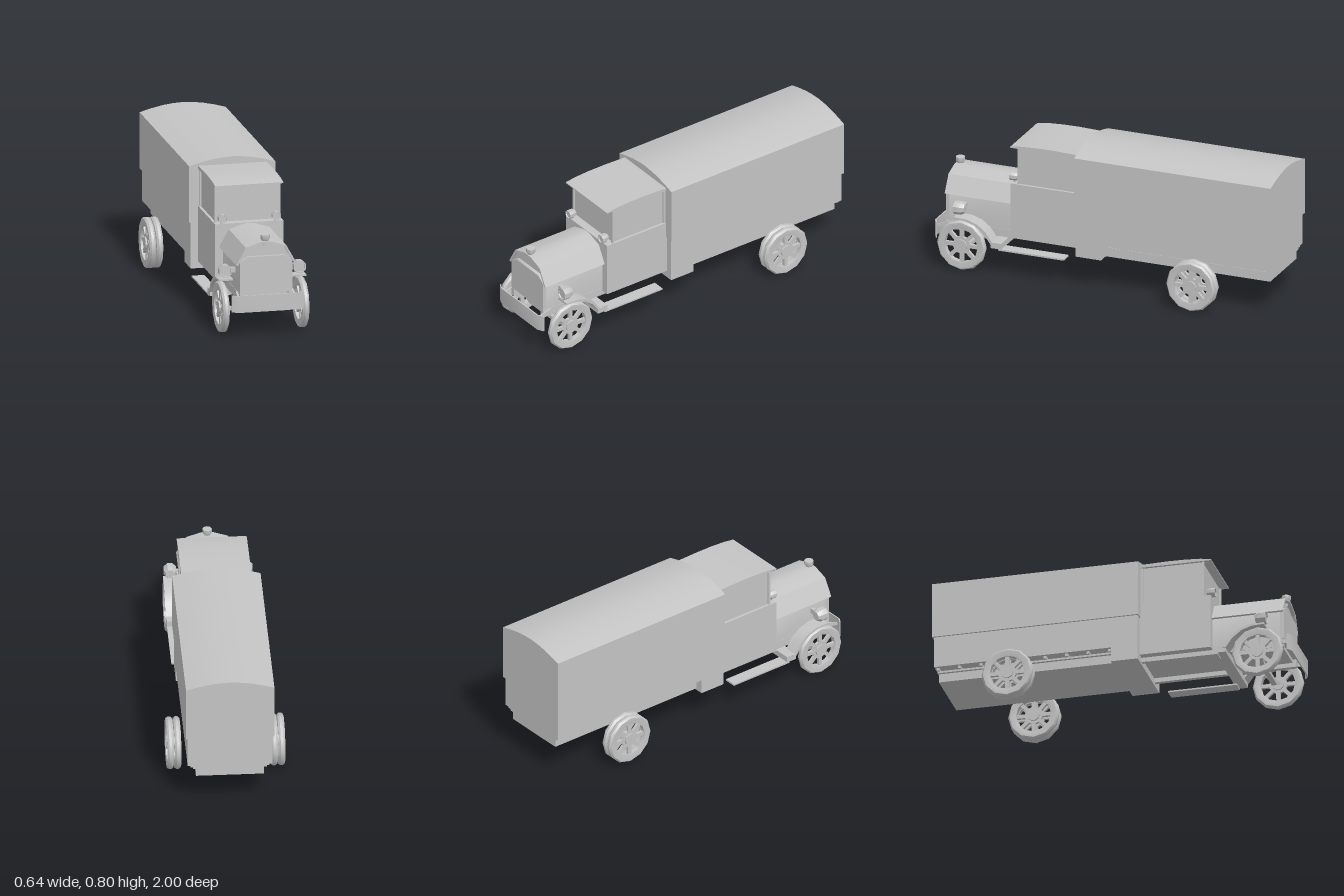
import * as THREE from 'three';
import { toCreasedNormals } from 'three/addons/utils/BufferGeometryUtils.js';

export function createModel() {
  const truck = new THREE.Group();
  truck.name = 'boxTruck';
  const grey = new THREE.MeshStandardMaterial({ color: 0xc4c4c4 });
  grey.name = 'plain grey';

  function add(name, geo, parent = truck) {
    const mesh = new THREE.Mesh(toCreasedNormals(geo, 0.56), grey);
    mesh.name = name;
    parent.add(mesh);
    return mesh;
  }
  // box given by its limits on each axis
  function box(name, x0, x1, y0, y1, z0, z1) {
    const g = new THREE.BoxGeometry(x1 - x0, y1 - y0, z1 - z0);
    return add(name, g.translate((x0 + x1) / 2, (y0 + y1) / 2, (z0 + z1) / 2));
  }
  const shapeOf = (pts) => new THREE.Shape(pts.map((p) => new THREE.Vector2(p[0], p[1])));
  // mirrors a half outline, listed from the bottom up, across x = 0
  const mirrored = (half) => [...half, ...half.filter((p) => p[0] > 0).reverse().map((p) => [-p[0], p[1]])];
  // cross-section in x, y pulled along z
  function alongZ(name, pts, z0, z1) {
    const g = new THREE.ExtrudeGeometry(shapeOf(pts), { depth: z1 - z0, bevelEnabled: false });
    return add(name, g.translate(0, 0, z0));
  }
  // side outline in z, y pulled along x
  function alongX(name, pts, x0, x1) {
    const g = new THREE.ExtrudeGeometry(shapeOf(pts), { depth: x1 - x0, bevelEnabled: false });
    return add(name, g.rotateY(-Math.PI / 2).translate(x1, 0, 0));
  }

  // cargo body with arched canvas cover
  alongZ('cargoCover', mirrored([[0.24, 0.44], [0.24, 0.755], [0.175, 0.773], [0.11, 0.787], [0.055, 0.794], [0, 0.797]]), -1, 0.155);
  box('cargoBed', -0.23, 0.23, 0.263, 0.44, -0.99, 0.15);
  for (let i = 0; i < 9; i++) {
    const z = -0.005 - i * 0.12;
    box('bedSpacer', -0.215, 0.215, 0.248, 0.264, z - 0.016, z);
  }
  box('bedPlate', -0.2, 0.2, 0.238, 0.249, -0.98, 0);
  box('rearFrame', -0.185, 0.185, 0.19, 0.238, -0.975, 0);
  box('underbodyBox', -0.23, 0.23, 0.18, 0.264, 0, 0.15);

  // cab
  box('cabLower', -0.19, 0.19, 0.22, 0.53, 0.15, 0.548);
  box('cabWindows', -0.175, 0.175, 0.53, 0.742, 0.165, 0.5);
  for (const s of [-1, 1]) {
    for (const z of [0.161, 0.504]) {
      box('cabPost', s * 0.179 - 0.005, s * 0.179 + 0.005, 0.53, 0.742, z - 0.006, z + 0.006);
    }
  }
  alongX('cabRoof', [[0.155, 0.738], [0.55, 0.738], [0.55, 0.744], [0.49, 0.753], [0.4, 0.758], [0.3, 0.759], [0.155, 0.755]], -0.19, 0.19);

  // hood: engine body, arched shell and radiator
  alongZ('engineBody', mirrored([[0.145, 0.22], [0.145, 0.42], [0.104, 0.487], [0, 0.517]]), 0.545, 0.925);
  const outer = [[0.167, 0.402], [0.113, 0.498], [0.03, 0.525], [0, 0.527]];
  const inner = [[0, 0.517], [0.03, 0.515], [0.105, 0.489], [0.157, 0.398]];
  alongZ('hoodShell', [
    ...mirrored(outer),
    ...inner.slice(1).reverse().map((p) => [-p[0], p[1]]),
    ...inner,
  ], 0.545, 0.945);
  alongZ('radiator', mirrored([[0.145, 0.242], [0.145, 0.417], [0.1, 0.445]]), 0.92, 0.946);
  add('radiatorCap', new THREE.LatheGeometry([
    [0, 0.5], [0.01, 0.5], [0.01, 0.524], [0.019, 0.528], [0.026, 0.54], [0.026, 0.561], [0, 0.561],
  ].map((p) => new THREE.Vector2(...p)), 8).translate(0, 0, 0.922));

  // chassis, crossbar and front axle
  for (const s of [-1, 1]) {
    box('chassisRail', s * 0.135 - 0.012, s * 0.135 + 0.012, 0.195, 0.24, 0.1, 0.945);
  }
  box('stepCrossbar', -0.24, 0.24, 0.157, 0.19, 0.583, 0.645);
  alongZ('frontAxle', [
    [-0.135, 0.104], [0.135, 0.104], [0.215, 0.143], [0.215, 0.16], [0.195, 0.152],
    [0.13, 0.125], [-0.13, 0.125], [-0.195, 0.152], [-0.215, 0.16], [-0.215, 0.143],
  ], 0.805, 0.835);

  // bumper with swept ends, seen as a plan outline and raised
  const plan = shapeOf([
    [-0.2, -0.975], [-0.168, -0.993], [0.168, -0.993], [0.2, -0.975],
    [0.2, -0.983], [0.168, -1], [-0.168, -1], [-0.2, -0.983],
  ]);
  const bumper = new THREE.ExtrudeGeometry(plan, { depth: 0.093, bevelEnabled: false });
  add('bumper', bumper.rotateX(-Math.PI / 2).translate(0, 0.151, 0));

  // wheel: tyre ring, spoked disc and hub, turning around x
  const tyreProfile = [
    [0.098, -0.015], [0.12, -0.018], [0.134, -0.018], [0.143, -0.007],
    [0.143, 0.007], [0.134, 0.018], [0.12, 0.018], [0.098, 0.015], [0.098, -0.015],
  ].map((p) => new THREE.Vector2(...p));
  function spokedDisc() {
    const disc = new THREE.Shape().absarc(0, 0, 0.104, 0, Math.PI * 2);
    for (let i = 0; i < 8; i++) {
      const a = (i + 0.5) * Math.PI / 4;
      const corners = [[0.05, -0.17], [0.096, -0.28], [0.098, 0], [0.096, 0.28], [0.05, 0.17]];
      disc.holes.push(new THREE.Path(corners.map(([r, t]) =>
        new THREE.Vector2(r * Math.cos(a + t), r * Math.sin(a + t)))));
    }
    return new THREE.ExtrudeGeometry(disc, { depth: 0.016, bevelEnabled: false, curveSegments: 12 })
      .translate(0, 0, -0.008).rotateY(Math.PI / 2);
  }
  function wheel(name, x, z) {
    const g = new THREE.Group();
    g.name = name;
    g.position.set(x, 0.143, z);
    add('tyre', new THREE.LatheGeometry(tyreProfile, 12).rotateZ(-Math.PI / 2), g);
    add('spokes', spokedDisc(), g);
    add('hub', new THREE.CylinderGeometry(0.034, 0.034, 0.034, 10).rotateZ(-Math.PI / 2), g);
    truck.add(g);
  }

  // lamp: octagonal can with a recessed lens, facing +z
  function lamp(name, x, y, z, r, depth) {
    const pts = [[0, -depth], [r * 0.7, -depth], [r, -depth * 0.65], [r, 0], [r * 0.84, 0], [r * 0.8, -0.006], [0, -0.006]];
    const geo = new THREE.LatheGeometry(pts.map((p) => new THREE.Vector2(...p)), 8);
    add(name, geo.rotateY(Math.PI / 8).rotateX(Math.PI / 2).translate(x, y, z));
  }

  // mirrored parts
  for (const s of [-1, 1]) {
    const side = (name, xa, xb, ...rest) => box(name, Math.min(s * xa, s * xb), Math.max(s * xa, s * xb), ...rest);
    wheel('frontWheel', s * 0.222, 0.82);
    wheel('rearInnerWheel', s * 0.262, -0.56);
    wheel('rearOuterWheel', s * 0.302, -0.56);

    alongX('frontFender', [
      [0.62, 0.18], [0.645, 0.18], [0.685, 0.235], [0.735, 0.273], [0.79, 0.292], [0.86, 0.296],
      [0.86, 0.306], [0.785, 0.303], [0.725, 0.284], [0.675, 0.247], [0.635, 0.19], [0.62, 0.19],
    ], s > 0 ? 0.165 : -0.244, s > 0 ? 0.244 : -0.165);
    side('runningBoard', 0.17, 0.24, 0.149, 0.158, 0.215, 0.6);

    lamp('headlight', s * 0.207, 0.35, 0.866, 0.037, 0.06);
    side('headlightBracket', 0.14, 0.178, 0.335, 0.364, 0.82, 0.84);
    lamp('cabLamp', s * 0.15, 0.561, 0.565, 0.025, 0.045);
    side('cabLampBracket', 0.142, 0.158, 0.528, 0.545, 0.53, 0.545);

    alongX('bumperArm', [[0.9, 0.225], [0.945, 0.21], [0.994, 0.2], [0.994, 0.215], [0.945, 0.232], [0.9, 0.245]],
      s * 0.155 - 0.005, s * 0.155 + 0.005);
  }
  return truck;
}
